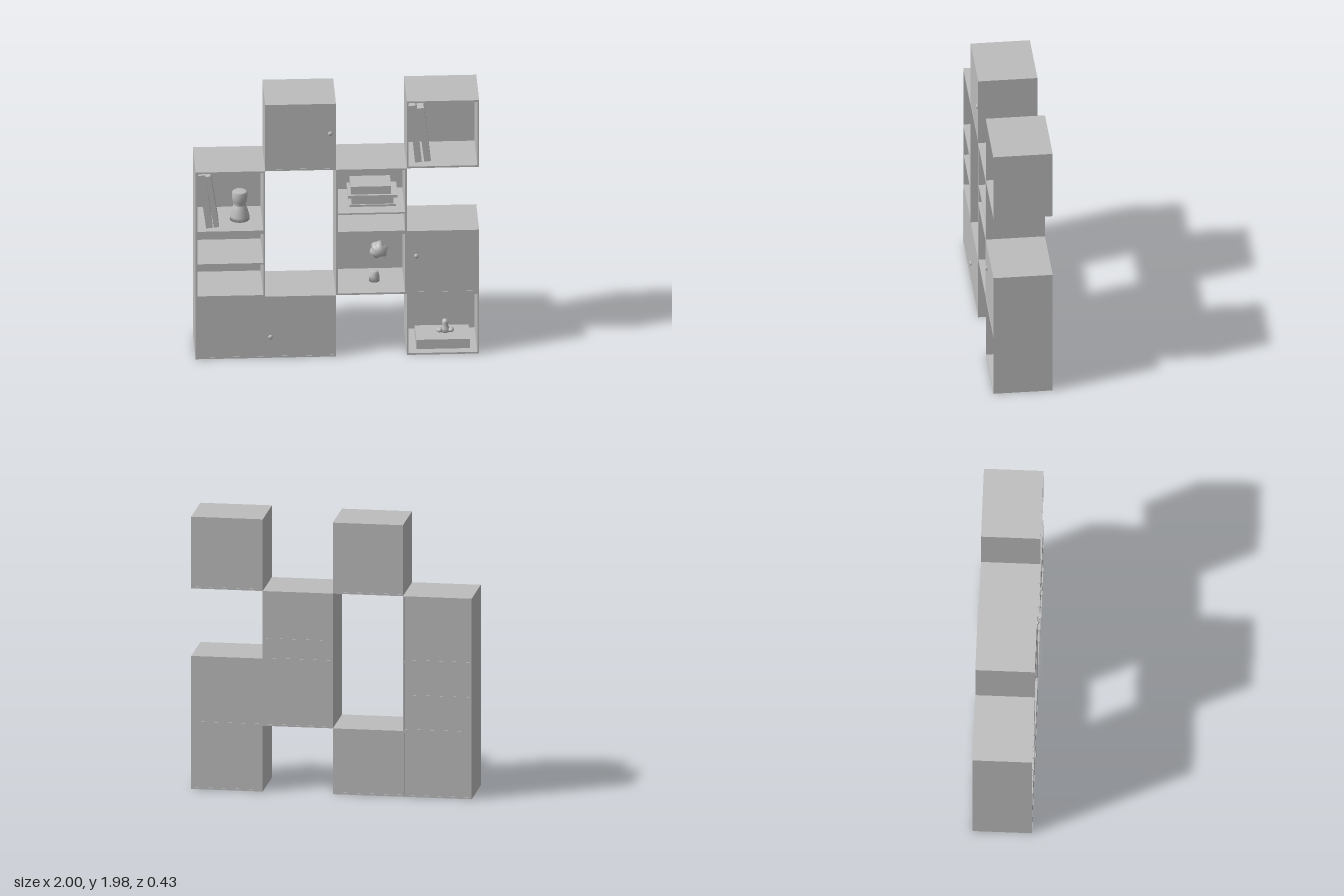
import * as THREE from 'three';

const BACK = -0.215, FRONT = 0.205, WALL = 0.013;

export function createModel() {
  const root = new THREE.Group();
  root.name = 'cubeShelving';
  const grey = new THREE.MeshStandardMaterial({ color: 0xbcbcbc });
  grey.name = 'grey';

  const add = (parent, name, geo, x = 0, y = 0, z = 0) => {
    const m = new THREE.Mesh(geo, grey);
    m.name = name;
    m.position.set(x, y, z);
    parent.add(m);
    return m;
  };
  const box = (parent, name, x0, x1, y0, y1, z0, z1) =>
    add(parent, name, new THREE.BoxGeometry(x1 - x0, y1 - y0, z1 - z0),
      (x0 + x1) / 2, (y0 + y1) / 2, (z0 + z1) / 2);
  const lathe = (parent, name, pts, x, y, z) =>
    add(parent, name, new THREE.LatheGeometry(pts.map(p => new THREE.Vector2(...p)), 20), x, y, z);

  // Four-walled cube frame with a slightly recessed back panel
  function cube(name, x0, x1, y0, y1) {
    const g = new THREE.Group();
    g.name = name;
    root.add(g);
    const rect = (T, a, b, c, d) => {
      const s = new T();
      s.moveTo(a, c); s.lineTo(b, c); s.lineTo(b, d); s.lineTo(a, d); s.closePath();
      return s;
    };
    const shape = rect(THREE.Shape, x0, x1, y0, y1);
    shape.holes.push(rect(THREE.Path, x0 + WALL, x1 - WALL, y0 + WALL, y1 - WALL));
    add(g, 'frame', new THREE.ExtrudeGeometry(shape, { depth: FRONT - BACK, bevelEnabled: false }), 0, 0, BACK);
    box(g, 'backPanel', x0 + WALL, x1 - WALL, y0 + WALL, y1 - WALL, BACK + 0.004, BACK + 0.014);
    return g;
  }

  // Door set just inside the frame, with an optional round knob
  function cabinet(name, x0, x1, y0, y1, knob) {
    const g = cube(name, x0, x1, y0, y1);
    box(g, 'door', x0 + WALL, x1 - WALL, y0 + WALL, y1 - WALL, FRONT - 0.018, FRONT - 0.002);
    if (knob) {
      const k = add(g, 'knob', new THREE.SphereGeometry(0.017, 14, 10), knob[0], knob[1], FRONT + 0.003);
      k.scale.z = 0.6;
    }
    return g;
  }

  const shelf = (g, x0, x1, y) => box(g, 'shelf', x0 + WALL, x1 - WALL, y - 0.006, y + 0.006, BACK + 0.001, FRONT - 0.002);

  // Book leaning from its foot (bx, by) to its top (tx, ty), with covers around a page block
  function leaningBook(g, bx, by, tx, ty, thick, z0, z1) {
    const b = new THREE.Group();
    b.name = 'leaningBook';
    const h = Math.hypot(tx - bx, ty - by);
    box(b, 'pages', -thick / 2 + 0.004, thick / 2 - 0.004, 0.006, h - 0.006, z0, z1 - 0.004);
    for (const s of [-1, 1])
      box(b, 'cover', s * thick / 2 - 0.004, s * thick / 2 + 0.004, 0, h, z0, z1);
    box(b, 'spine', -thick / 2, thick / 2, 0, h, z1 - 0.006, z1);
    b.position.set(bx, by, 0);
    b.rotation.z = -Math.atan2(tx - bx, ty - by);
    g.add(b);
  }

  // Left column
  cabinet('lowerLeftCabinet', -1, -0.51, 0, 0.477);
  const low = cube('shelfCube', -1, -0.51, 0.477, 0.98);
  shelf(low, -1, -0.51, 0.733);
  const upper = cube('bookCube', -1, -0.51, 0.98, 1.455);
  leaningBook(upper, -0.90, 0.995, -0.955, 1.405, 0.04, -0.08, 0.15);
  leaningBook(upper, -0.85, 0.995, -0.91, 1.39, 0.03, -0.08, 0.14);
  lathe(upper, 'vase', [[0, 0], [0.07, 0], [0.068, 0.03], [0.055, 0.08], [0.045, 0.11], [0.04, 0.115],
    [0.05, 0.14], [0.055, 0.17], [0.054, 0.21], [0.045, 0.217], [0, 0.217]], -0.68, 0.993, 0);

  // Second column
  cabinet('lowerMiddleCabinet', -0.51, -0.01, 0, 0.477, [-0.472, 0.162]);
  cabinet('topCabinet', -0.51, -0.01, 1.455, 1.97, [-0.05, 1.738]);

  // Third column
  const display = cube('displayCube', -0.01, 0.49, 0.477, 0.957);
  lathe(display, 'cup', [[0, 0], [0.037, 0], [0.035, 0.04], [0.028, 0.07], [0.022, 0.077], [0, 0.077]], 0.27, 0.489, 0);
  const bloom = new THREE.SphereGeometry(0.062, 14, 10);
  const p = bloom.attributes.position;
  for (let i = 0; i < p.count; i++) {
    const a = Math.atan2(p.getY(i), p.getX(i));
    const k = 1 + 0.14 * Math.sin(a * 6) + 0.06 * Math.cos(a * 3 + 1);
    p.setXYZ(i, p.getX(i) * k, p.getY(i) * k * 0.95, p.getZ(i));
  }
  bloom.computeVertexNormals();
  add(display, 'bloom', bloom, 0.3, 0.73, 0);

  const stack = cube('stackCube', -0.01, 0.49, 0.957, 1.455);
  shelf(stack, -0.01, 0.49, 1.107);
  [[0.09, 0.42, 1.113, 1.128, -0.12, 0.1], [0.105, 0.4, 1.128, 1.18, -0.11, 0.09],
    [0.08, 0.43, 1.18, 1.2, -0.12, 0.1], [0.1, 0.385, 1.2, 1.26, -0.1, 0.08]]
    .forEach(b => box(stack, 'stackedBook', ...b));

  // Right column
  const bottom = cube('lowerRightCube', 0.49, 1, 0, 0.477);
  box(bottom, 'flatBook', 0.56, 0.94, 0.013, 0.085, -0.1, 0.14);
  lathe(bottom, 'figurineBody', [[0, 0], [0.035, 0], [0.03, 0.03], [0.018, 0.05], [0.024, 0.07], [0.018, 0.092], [0, 0.095]], 0.77, 0.083, 0);
  for (const s of [-1, 1]) {
    const limb = add(bottom, 'figurineLimb', new THREE.SphereGeometry(0.022, 10, 8), 0.77 + s * 0.04, 0.1, 0.01);
    limb.scale.set(1, 0.8, 1.2);
  }
  cabinet('rightCabinet', 0.49, 1, 0.477, 0.965, [0.557, 0.77]);
  const top = cube('topBookCube', 0.49, 1, 1.455, 1.975);
  leaningBook(top, 0.575, 1.47, 0.53, 1.91, 0.04, -0.08, 0.14);
  leaningBook(top, 0.64, 1.47, 0.59, 1.885, 0.04, -0.09, 0.13);

  return root;
}
